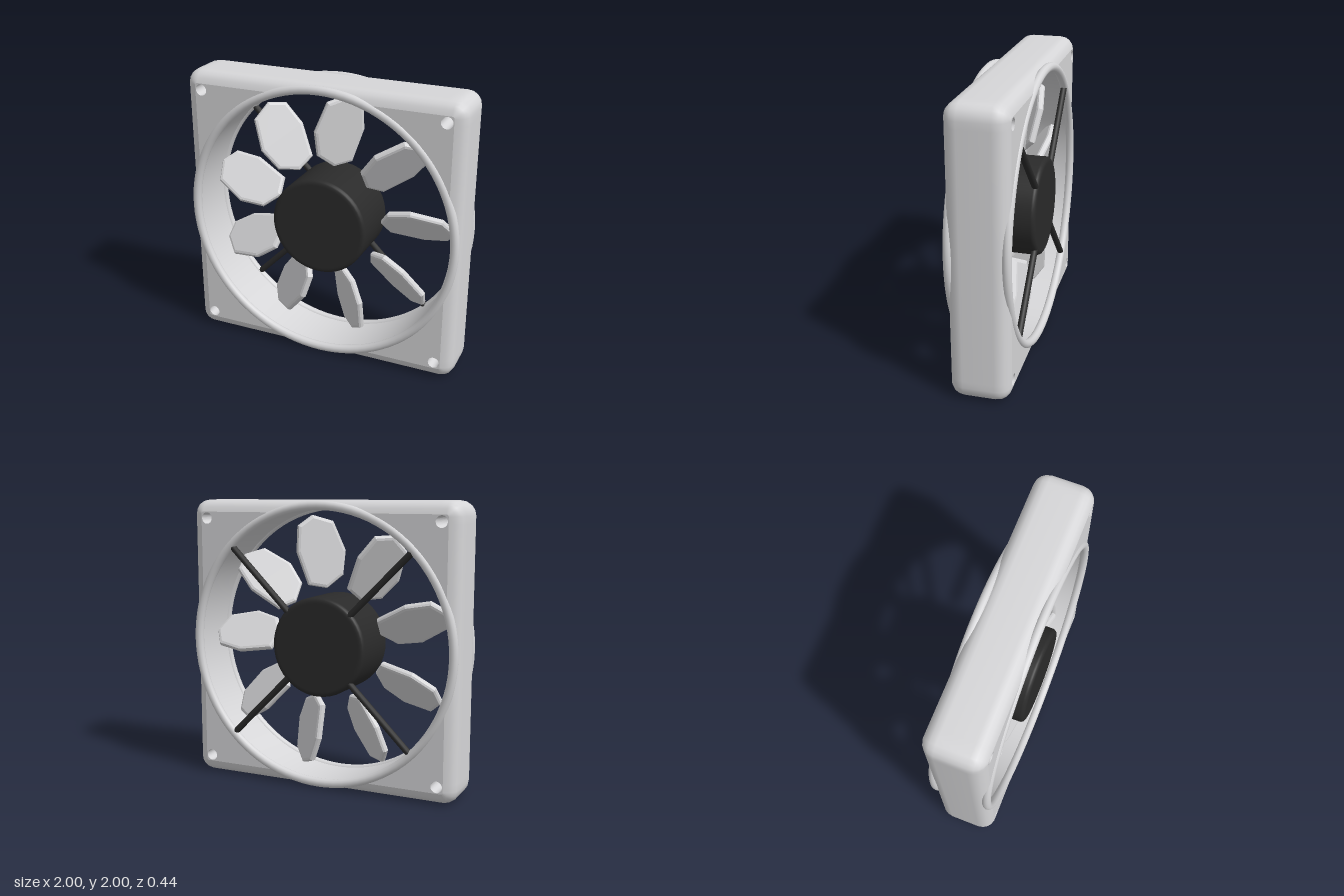
import * as THREE from 'three';

const BORE = 0.95, HALF_DEPTH = 0.205, EDGE = 0.1, FLAT = 0.085;

// Closed loops of points joined into a smooth skin
function skin(rows) {
  const n = rows[0].length, index = [];
  for (let k = 0; k < rows.length - 1; k++) {
    for (let j = 0; j < n; j++) {
      const a = k * n + j, b = k * n + (j + 1) % n;
      index.push(a, a + n, b, b, a + n, b + n);
    }
  }
  const geo = new THREE.BufferGeometry().setFromPoints(rows.flat());
  geo.setIndex(index);
  geo.computeVertexNormals();
  return geo;
}

// Height of the rounded casing edge at a given inset from its outline
function edgeHeight(d) {
  const e = Math.max(0, EDGE - d);
  return HALF_DEPTH - EDGE + Math.sqrt(EDGE * EDGE - e * e);
}

// Casing outline at an inset, trimmed where the round opening cuts the edge
function outline(inset, sign) {
  const points = [], Z = new THREE.Vector3(0, 0, 1);
  for (let side = 0; side < 4; side++) {
    const add = (x, y, z) =>
      points.push(new THREE.Vector3(x, y, z).applyAxisAngle(Z, side * Math.PI / 2));
    for (let i = 0; i <= 36; i++) {
      const t = -0.9 + i * 0.05;
      const d = Math.min(inset, 1 - Math.sqrt(Math.max(0, BORE * BORE - t * t)));
      add(1 - d, t, sign * edgeHeight(d));
    }
    for (let i = 1; i < 4; i++) {
      const a = i * Math.PI / 8, r = EDGE - inset;
      add(0.9 + r * Math.cos(a), 0.9 + r * Math.sin(a), sign * edgeHeight(inset));
    }
  }
  return points;
}

export function createModel() {
  const grey = new THREE.MeshStandardMaterial({ color: 0xd6d6d8 });
  grey.name = 'light grey plastic';
  const black = new THREE.MeshStandardMaterial({ color: 0x2a2a2a });
  black.name = 'black plastic';

  const model = new THREE.Group();
  model.name = 'coolingFan';
  const fan = new THREE.Group();
  fan.name = 'fan';
  fan.position.y = 1;
  model.add(fan);
  const add = (name, geo, mat, parent = fan) => {
    const mesh = new THREE.Mesh(geo, mat);
    mesh.name = name;
    parent.add(mesh);
    return mesh;
  };

  // Rounded outer casing
  const insets = [FLAT, 0.05, 0.025, 0.008, 0];
  add('casingShell', skin([
    ...insets.map(d => outline(d, 1)),
    ...insets.slice().reverse().map(d => outline(d, -1)),
  ]), grey);

  // Wall of the round opening
  const wallRow = sign => Array.from({ length: 96 }, (_, i) => {
    const a = i / 96 * Math.PI * 2, c = Math.cos(a), s = Math.sin(a);
    const z = edgeHeight(1 - BORE * Math.max(Math.abs(c), Math.abs(s)));
    return new THREE.Vector3(BORE * c, BORE * s, sign * z);
  });
  add('openingWall', skin([wallRow(-1), wallRow(1)]), grey);

  // Corner plates with screw holes
  const h = 1 - FLAT, r = EDGE - FLAT, arc = BORE + 0.001;
  const start = Math.acos(h / arc);
  const plate = new THREE.Shape();
  plate.moveTo(h, arc * Math.sin(start));
  plate.lineTo(h, h - r);
  plate.absarc(h - r, h - r, r, 0, Math.PI / 2, false);
  plate.lineTo(arc * Math.sin(start), h);
  plate.absarc(0, 0, arc, Math.PI / 2 - start, start, true);
  const screw = new THREE.Path();
  screw.absarc(0.87, 0.87, 0.04, 0, Math.PI * 2, true);
  plate.holes.push(screw);
  const z = edgeHeight(FLAT);
  const plateGeo = new THREE.ExtrudeGeometry(plate, { depth: 2 * z, bevelEnabled: false, curveSegments: 24 });
  plateGeo.translate(0, 0, -z);
  for (let i = 0; i < 4; i++) {
    add('cornerPlate', plateGeo, grey).rotation.z = i * Math.PI / 2;
  }

  // Rim rings, front and back
  const ringGeo = new THREE.TorusGeometry(0.965, 0.031, 12, 96);
  for (const s of [1, -1]) {
    add(s > 0 ? 'frontRing' : 'backRing', ringGeo, grey).position.z = s * 0.188;
  }

  // Hub with softened edges
  const D = 0.212, R = 0.347, B = 0.03;
  const profile = [new THREE.Vector2(0, -D), new THREE.Vector2(R - B - 0.01, -D)];
  for (const s of [-1, 1]) {
    for (let i = 0; i <= 4; i++) {
      const a = s * (s < 0 ? 4 - i : i) * Math.PI / 8;
      profile.push(new THREE.Vector2(R - B + B * Math.cos(a), s * (D - B) + B * Math.sin(a)));
    }
  }
  profile.push(new THREE.Vector2(R - B - 0.01, D), new THREE.Vector2(0, D));
  add('hub', new THREE.LatheGeometry(profile, 48), black).rotation.x = Math.PI / 2;

  // Diagonal struts behind the blades
  const strutGeo = new THREE.CylinderGeometry(0.023, 0.023, 0.7, 10);
  strutGeo.translate(0, 0.6, 0);
  for (let i = 0; i < 4; i++) {
    const strut = add('strut', strutGeo, black);
    strut.position.z = -0.188;
    strut.rotation.z = Math.PI / 4 + i * Math.PI / 2;
  }

  // Pitched blades: elongated eight-sided plates
  const bladeShape = new THREE.Shape([
    [0.39, 0.015], [0.425, -0.115], [0.66, -0.175], [0.84, -0.15],
    [0.905, -0.04], [0.85, 0.105], [0.64, 0.175], [0.47, 0.14],
  ].map(p => new THREE.Vector2(...p)));
  const bladeGeo = new THREE.ExtrudeGeometry(bladeShape, {
    depth: 0.016, bevelThickness: 0.018, bevelSize: 0.022, bevelOffset: -0.022, bevelSegments: 2,
  });
  bladeGeo.translate(0, 0, -0.008);
  bladeGeo.rotateX(40 * Math.PI / 180);
  const blades = new THREE.Group();
  blades.name = 'blades';
  fan.add(blades);
  for (let i = 0; i < 9; i++) {
    add('blade', bladeGeo, grey, blades).rotation.z = (4 + i * 40) * Math.PI / 180;
  }

  return model;
}
